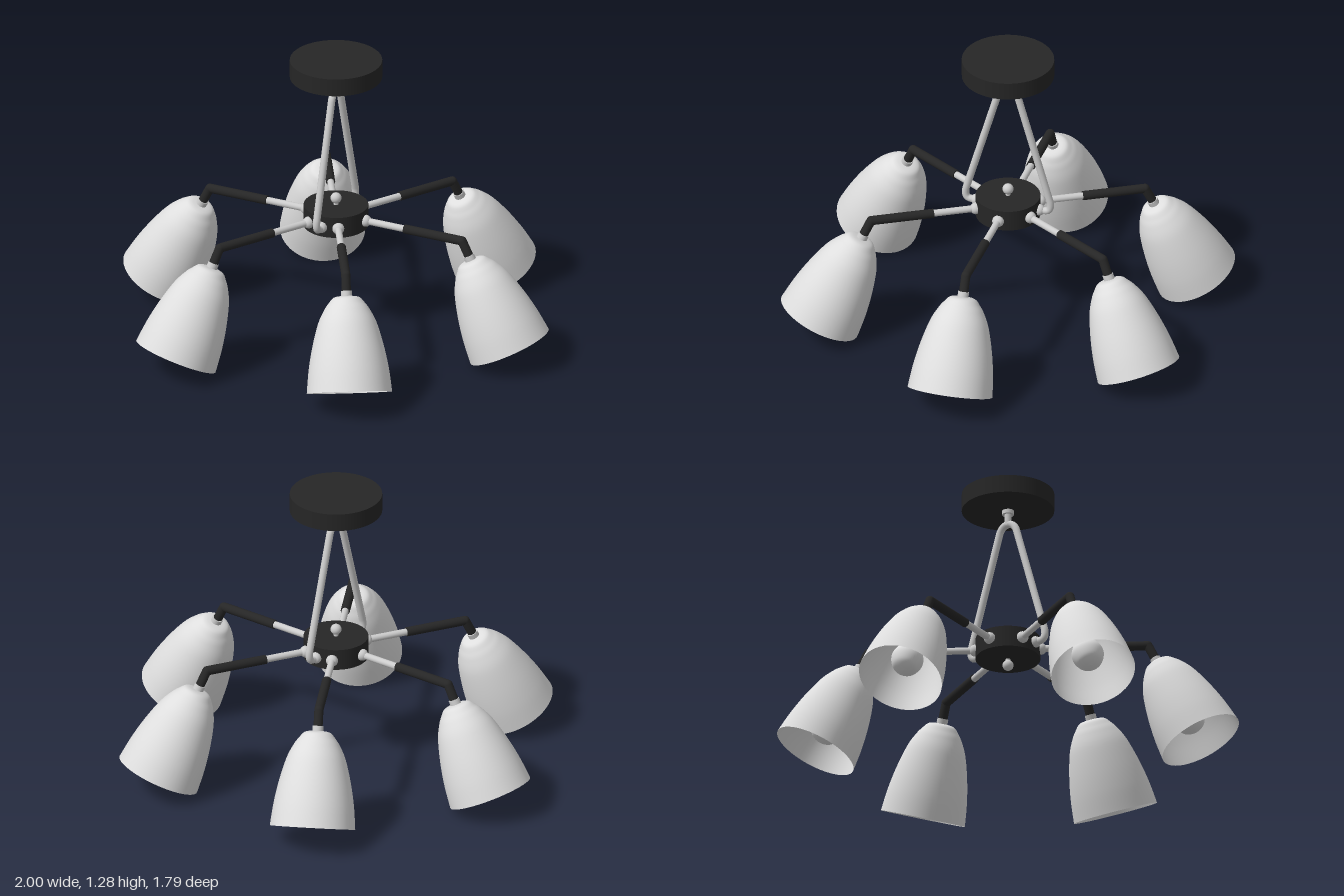
import * as THREE from 'three';

const material = (name, color, side = THREE.FrontSide) => {
  const m = new THREE.MeshStandardMaterial({ color, side });
  m.name = name;
  return m;
};

export function createModel() {
  const black = material('matte black', 0x262626);
  const metal = material('satin metal', 0xcccccc);
  const white = material('shade white', 0xdedede, THREE.DoubleSide);
  const model = new THREE.Group();
  model.name = 'chandelier';

  const add = (parent, name, geometry, mat, x = 0, y = 0, z = 0) => {
    const mesh = new THREE.Mesh(geometry, mat);
    mesh.name = name;
    mesh.position.set(x, y, z);
    parent.add(mesh);
    return mesh;
  };
  const cyl = (r, h, n = 24) => new THREE.CylinderGeometry(r, r, h, n);
  const ball = (r) => new THREE.SphereGeometry(r, 24, 16);
  const lathe = (points) => new THREE.LatheGeometry(
    new THREE.SplineCurve(points.map(([r, y]) => new THREE.Vector2(r, y))).getPoints(36), 48);
  // Horizontal rod along x between two radii
  const rod = (parent, name, r, x0, x1, mat) => {
    add(parent, name, cyl(r, x1 - x0), mat, (x0 + x1) / 2, 0.55, 0).rotation.z = Math.PI / 2;
  };

  // Ceiling mount and stem
  add(model, 'canopy', cyl(0.2, 0.08, 64), black, 0, 1.25);
  add(model, 'stemNut', cyl(0.026, 0.02), metal, 0, 1.202);
  add(model, 'stem', cyl(0.016, 0.07), metal, 0, 1.175);

  // Hub with a finial above and below
  add(model, 'hub', cyl(0.14, 0.095, 64), black, 0, 0.552);
  for (const [y, neckY] of [[0.63, 0.605], [0.475, 0.5]]) {
    add(model, 'finial', ball(0.024), metal, 0, y);
    add(model, 'finialNeck', cyl(0.01, 0.03), metal, 0, neckY);
  }

  // Bent hanger rod, set between the arms
  const hanger = new THREE.Group();
  hanger.name = 'hanger';
  hanger.rotation.y = Math.PI / 6;
  model.add(hanger);
  const v = (x, y) => new THREE.Vector3(x, y, 0);
  const path = new THREE.CurvePath();
  path.add(new THREE.LineCurve3(v(-0.12, 0.55), v(-0.165, 0.55)));
  path.add(new THREE.QuadraticBezierCurve3(v(-0.165, 0.55), v(-0.2, 0.55), v(-0.19, 0.6)));
  path.add(new THREE.LineCurve3(v(-0.19, 0.6), v(-0.045, 1.105)));
  path.add(new THREE.CubicBezierCurve3(v(-0.045, 1.105), v(-0.031, 1.16), v(0.031, 1.16), v(0.045, 1.105)));
  path.add(new THREE.LineCurve3(v(0.045, 1.105), v(0.19, 0.6)));
  path.add(new THREE.QuadraticBezierCurve3(v(0.19, 0.6), v(0.2, 0.55), v(0.165, 0.55)));
  path.add(new THREE.LineCurve3(v(0.165, 0.55), v(0.12, 0.55)));
  add(hanger, 'hangerRod', new THREE.TubeGeometry(path, 160, 0.016, 14), metal);
  for (const s of [-1, 1]) add(hanger, 'hangerJoint', ball(0.025), metal, s * 0.142, 0.55);

  // Shade and bulb profiles, measured down from the elbow
  const shadeGeo = lathe([[0.185, -0.51], [0.174, -0.41], [0.155, -0.31], [0.127, -0.21],
    [0.098, -0.15], [0.078, -0.122]]);
  const capGeo = lathe([[0.078, -0.122], [0.062, -0.103], [0.045, -0.095], [0.02, -0.092]]);
  const bulbGeo = lathe([[0, -0.463], [0.03, -0.456], [0.055, -0.437], [0.07, -0.395],
    [0.06, -0.352], [0.036, -0.3], [0.028, -0.25], [0.028, -0.2]]);

  // Six arms, each with a tilted lamp
  for (let i = 0; i < 6; i++) {
    const arm = new THREE.Group();
    arm.name = 'arm' + (i + 1);
    arm.rotation.y = i * Math.PI / 3;
    model.add(arm);
    add(arm, 'armJoint', ball(0.026), metal, 0.142, 0.55);
    rod(arm, 'armRod', 0.015, 0.12, 0.34, metal);
    rod(arm, 'armSleeve', 0.02, 0.33, 0.606, black);
    add(arm, 'elbow', ball(0.02), black, 0.606, 0.55);

    const lamp = new THREE.Group();
    lamp.name = 'lamp' + (i + 1);
    lamp.position.set(0.606, 0.55, 0);
    lamp.rotation.z = Math.atan(0.5);
    arm.add(lamp);
    add(lamp, 'elbowSleeve', cyl(0.02, 0.075), black, 0, -0.0375);
    add(lamp, 'collar', cyl(0.024, 0.03), metal, 0, -0.085);
    add(lamp, 'shade', shadeGeo, white);
    add(lamp, 'shadeCap', capGeo, white);
    add(lamp, 'socket', cyl(0.034, 0.12), metal, 0, -0.16);
    add(lamp, 'bulb', bulbGeo, white);
  }
  return model;
}
